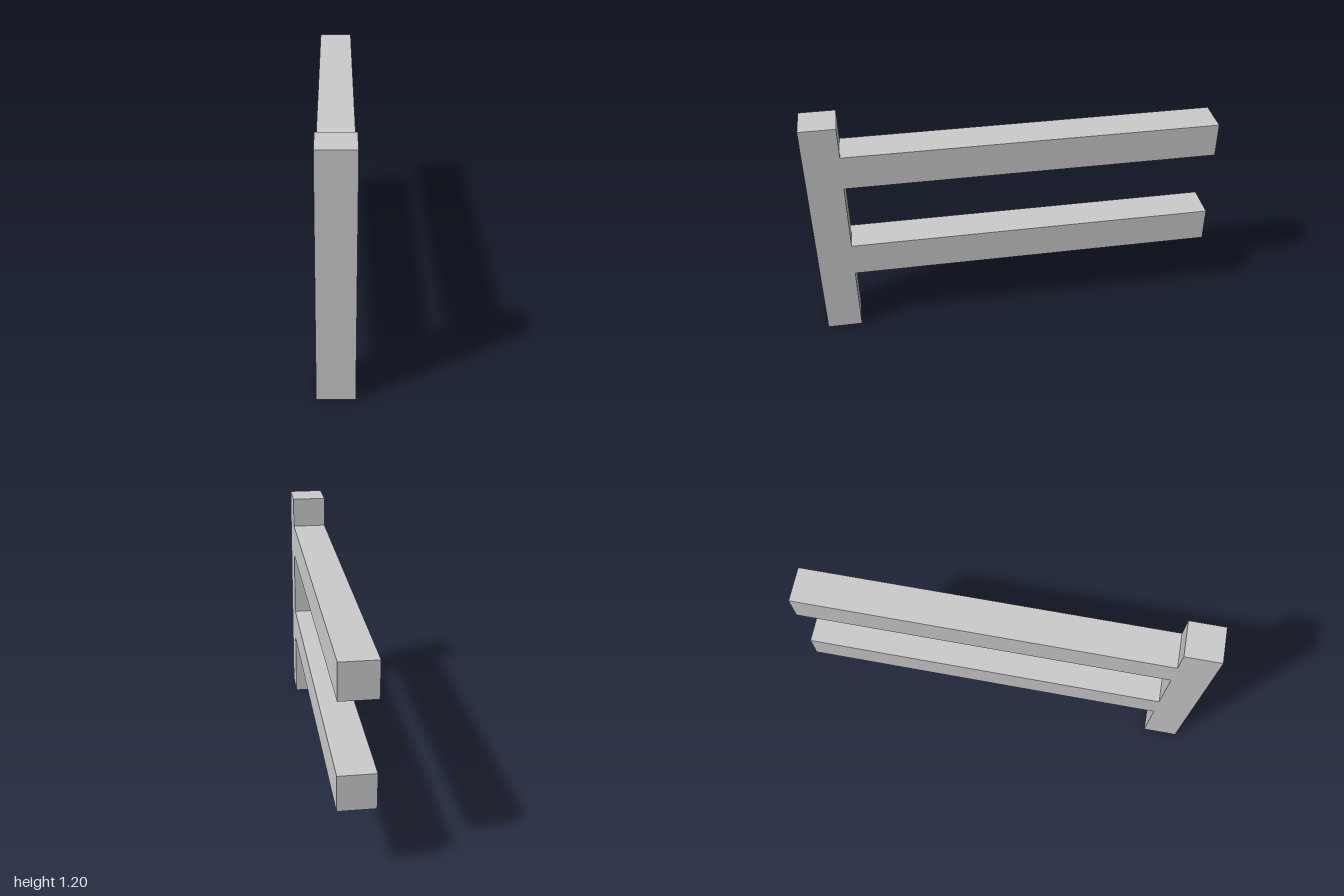
import * as THREE from 'three';

export function createModel() {
  const group = new THREE.Group();
  group.name = 'fenceSection';
  const paint = new THREE.MeshStandardMaterial({ color: 0xcccccc });
  paint.name = 'light grey';

  const T = 0.174; // square section of post and rails
  const HEIGHT = 1.2;
  const LENGTH = 2;

  function beam(name, height, depth, y, z) {
    const mesh = new THREE.Mesh(new THREE.BoxGeometry(T, height, depth), paint);
    mesh.name = name;
    mesh.position.set(0, y, z);
    group.add(mesh);
  }

  // Upright post at the front end
  beam('post', HEIGHT, T, HEIGHT / 2, (LENGTH - T) / 2);

  // Two rails running back from the post, flush with its sides
  beam('lowerRail', T, LENGTH - T, 2.5 * T, -T / 2);
  beam('upperRail', T, LENGTH - T, 5.5 * T, -T / 2);

  return group;
}
